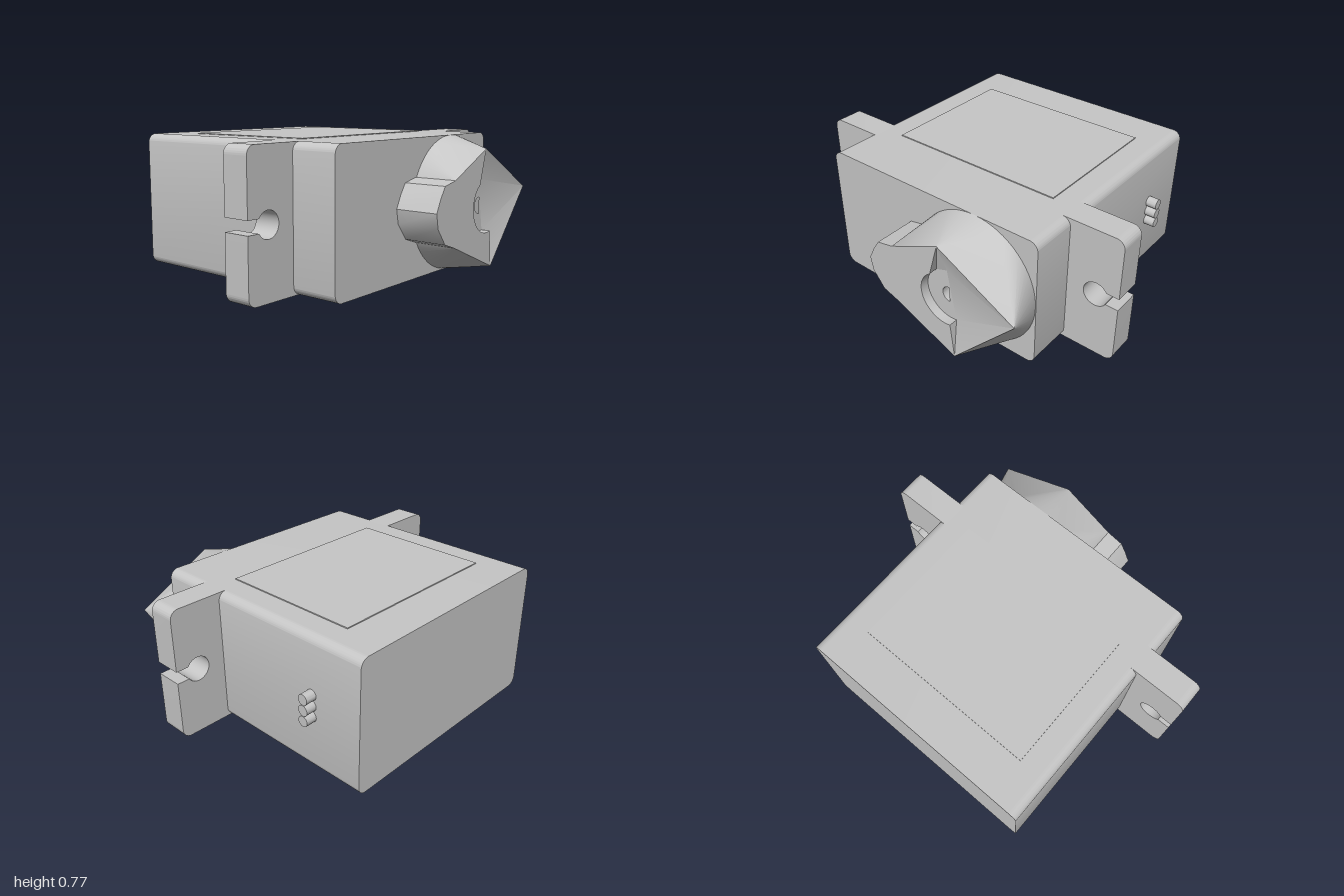
import * as THREE from 'three';
import { toCreasedNormals } from 'three/addons/utils/BufferGeometryUtils.js';

const Y = 0.39; // height of the long axis

export function createModel() {
  const group = new THREE.Group();
  const grey = new THREE.MeshStandardMaterial({ color: 0xc6c6c6, side: THREE.DoubleSide });
  grey.name = 'lightGrey';

  const add = (name, geometry) => {
    const mesh = new THREE.Mesh(toCreasedNormals(geometry, 0.5), grey);
    mesh.name = name;
    group.add(mesh);
  };
  const extrude = (shape, z0, z1) =>
    new THREE.ExtrudeGeometry(shape, { depth: z1 - z0, bevelEnabled: false, curveSegments: 16 }).translate(0, 0, z0);
  const triangles = (numbers) => new THREE.BufferGeometry()
    .setAttribute('position', new THREE.Float32BufferAttribute(numbers, 3));

  // Case: rounded rectangle running front to back
  const h = 0.38, r = 0.05, w = 0.698;
  const body = new THREE.Shape();
  body.absarc(w - r, Y + h - r, r, 0, Math.PI / 2);
  body.absarc(-w + r, Y + h - r, r, Math.PI / 2, Math.PI);
  body.absarc(-w + r, Y - h + r, r, Math.PI, Math.PI * 1.5);
  body.absarc(w - r, Y - h + r, r, Math.PI * 1.5, Math.PI * 2);
  add('case', extrude(body, -0.82, 0.58));

  // Mounting ears with keyhole slots open to the outside
  for (const side of [1, -1]) {
    const ear = new THREE.Shape();
    const a = Math.asin(0.035 / 0.07);
    ear.moveTo(0.64, Y - h);
    ear.lineTo(1 - r, Y - h);
    ear.absarc(1 - r, Y - h + r, r, -Math.PI / 2, 0);
    ear.lineTo(1, Y - 0.035);
    ear.absarc(0.867, Y, 0.07, -a, a - Math.PI * 2, true);
    ear.lineTo(1, Y + 0.035);
    ear.lineTo(1, Y + h - r);
    ear.absarc(1 - r, Y + h - r, r, 0, Math.PI / 2);
    ear.lineTo(0.64, Y + h);
    const geometry = extrude(ear, 0.16, 0.315);
    if (side < 0) geometry.rotateZ(Math.PI).translate(0, 2 * Y, 0);
    add(side > 0 ? 'leftEar' : 'rightEar', geometry);
  }

  // Thin label plates on top and bottom
  for (const [name, y] of [['topLabel', 0.771], ['bottomLabel', 0.007]]) {
    add(name, new THREE.BoxGeometry(1.06, 0.0095, 0.81).translate(0, y, -0.18));
  }

  // Three short wires
  for (const dy of [-0.062, 0, 0.062]) {
    add('wire', new THREE.CylinderGeometry(0.03, 0.03, 0.1, 20)
      .rotateZ(Math.PI / 2).translate(0.71, Y + dy, -0.51));
  }

  // Boss: round base blending to an angular front; each base point fans to the corner it faces
  const z0 = 0.58, z1 = 0.82, cx = 0.315, R = 0.38, n = 64;
  const corners = [[0.75, 0.46], [0.285, 0.705], [-0.03, 0.56], [-0.03, 0.21], [0.37, 0.045]];
  const base = (i) => {
    const t = (i / n) * Math.PI * 2;
    return [cx + R * Math.cos(t), Y + R * Math.sin(t), z0];
  };
  const facing = (i) => {
    const t = (i / n) * Math.PI * 2;
    const reach = corners.map(([x, y]) => x * Math.cos(t) + y * Math.sin(t));
    return reach.indexOf(Math.max(...reach));
  };
  const wall = [];
  for (let i = 0; i < n; i++) {
    const c = facing(i), d = facing(i + 1);
    wall.push(...base(i), ...base(i + 1), ...corners[c], z1);
    if (c !== d) wall.push(...base(i + 1), ...corners[d], z1, ...corners[c], z1);
  }
  add('bossWall', triangles(wall));

  // Boss front: flat left part, cut away along the round recess
  const rim = [];
  for (let i = 0; i <= 20; i++) {
    const t = THREE.MathUtils.degToRad(95 + i * 9.5);
    rim.push(new THREE.Vector2(0.31 + 0.148 * Math.cos(t), Y + 0.148 * Math.sin(t)));
  }
  const arc = rim.slice(3); // the first steps are taken by the notch
  const outline = corners.slice(1).map(([x, y]) => new THREE.Vector2(x, y));
  const face = new THREE.Shape([...outline, ...[...arc].reverse()]);
  add('bossFace', new THREE.ShapeGeometry(face).translate(0, 0, z1));

  // Right part of the front slopes gently from the recess floor up to the corners
  const zf = z1 - 0.05;
  const right = [...corners[0], z1], top = [...corners[1], z1], bottom = [...corners[4], z1];
  const at = (p, z) => [p.x, p.y, z];
  const floorTop = at(rim[0], zf), floorEnd = at(rim[20], zf);
  add('bossSlope', triangles([
    ...top, ...floorTop, ...right,
    ...floorTop, ...floorEnd, ...right,
    ...floorEnd, ...bottom, ...right,
  ]));

  // Recess wall with a notch up to the top corner and a sliver down to the bottom one
  const inner = [];
  for (let i = 0; i < arc.length - 1; i++) {
    const p = arc[i], q = arc[i + 1];
    inner.push(...at(p, z1), ...at(p, zf), ...at(q, zf), ...at(p, z1), ...at(q, zf), ...at(q, z1));
  }
  inner.push(...top, ...at(arc[0], z1), ...at(arc[0], zf));
  inner.push(...top, ...at(arc[0], zf), ...floorTop);
  inner.push(...bottom, ...floorEnd, ...at(rim[20], z1));
  add('recessWall', triangles(inner));

  // Recess floor with a half-round screw hole
  const floor = new THREE.Shape(rim);
  const bore = new THREE.Path();
  bore.absarc(0.308, Y, 0.045, Math.PI / 2, Math.PI * 1.5);
  floor.holes.push(bore);
  add('recessFloor', new THREE.ShapeGeometry(floor).translate(0, 0, zf));
  add('screwHole', new THREE.CylinderGeometry(0.045, 0.045, 0.1, 20, 1, true, Math.PI, Math.PI)
    .rotateX(Math.PI / 2).translate(0.308, Y, zf - 0.05));
  add('screwHoleBottom', new THREE.CircleGeometry(0.045, 20).translate(0.308, Y, zf - 0.1));

  // Small lobe beside the boss
  const lobe = new THREE.Shape([
    [-0.03, 0.56], [-0.13, 0.54], [-0.17, 0.48], [-0.205, 0.41], [-0.19, 0.33],
    [-0.12, 0.24], [-0.03, 0.21],
  ].map(([x, y]) => new THREE.Vector2(x, y)));
  add('lobe', extrude(lobe, z0, z1));

  return group;
}
